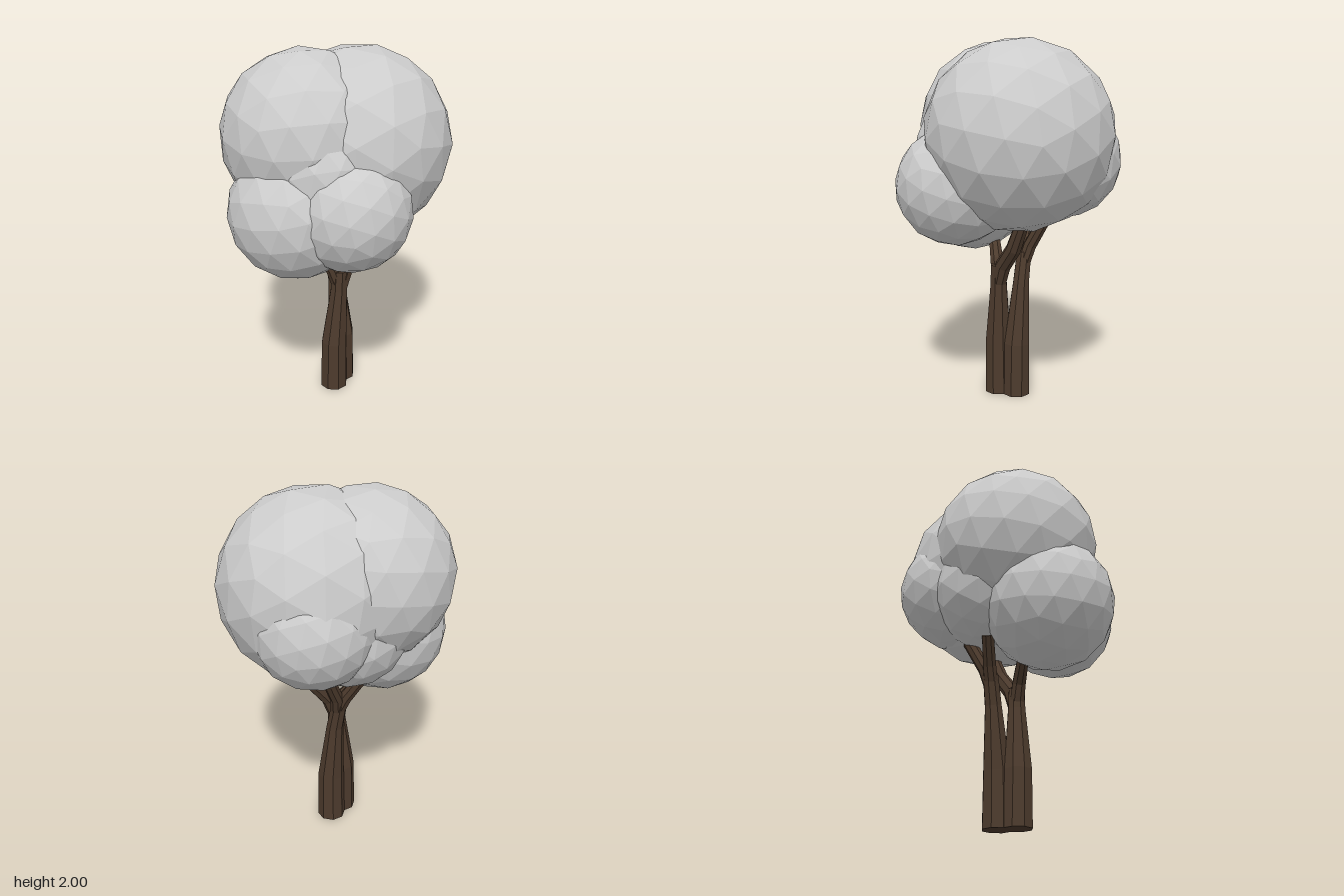
import * as THREE from 'three';

const SIDES = 8;

// Tapered limb lofted through [x, y, z, radius] stations, capped at both ends
function limb(stations) {
  const centres = stations.map(([x, y, z]) => new THREE.Vector3(x, y, z));
  const last = centres.length - 1;
  const positions = [];
  const index = [];
  centres.forEach((c, i) => {
    const dir = i === 0 ? new THREE.Vector3(0, 1, 0)
      : centres[Math.min(i + 1, last)].clone().sub(centres[i - 1]).normalize();
    const turn = new THREE.Quaternion().setFromUnitVectors(new THREE.Vector3(0, 1, 0), dir);
    for (let s = 0; s < SIDES; s++) {
      const a = (s + 0.5) / SIDES * Math.PI * 2;
      const p = new THREE.Vector3(Math.sin(a), 0, Math.cos(a))
        .multiplyScalar(stations[i][3]).applyQuaternion(turn).add(c);
      positions.push(p.x, p.y, p.z);
    }
  });
  for (let i = 0; i < last; i++) {
    for (let s = 0; s < SIDES; s++) {
      const a = i * SIDES + s;
      const b = i * SIDES + (s + 1) % SIDES;
      index.push(a, b, b + SIDES, a, b + SIDES, a + SIDES);
    }
  }
  const top = last * SIDES;
  for (let s = 1; s < SIDES - 1; s++) {
    index.push(0, s + 1, s, top, top + s, top + s + 1);
  }
  const g = new THREE.BufferGeometry();
  g.setAttribute('position', new THREE.Float32BufferAttribute(positions, 3));
  g.setIndex(index);
  const flat = g.toNonIndexed();
  flat.computeVertexNormals();
  return flat;
}

export function createModel() {
  const tree = new THREE.Group();
  tree.name = 'tree';
  const bark = new THREE.MeshStandardMaterial({ color: 0x4d3b2d, flatShading: true });
  bark.name = 'brown bark';
  const leaf = new THREE.MeshStandardMaterial({ color: 0xcccccc, flatShading: true });
  leaf.name = 'pale grey leaves';

  // Two leaning trunks, each forking into two branches
  const limbs = {
    frontTrunk: [[-0.035, 0, 0, 0.081], [-0.035, 0.3, 0.005, 0.077], [-0.013, 0.64, 0.022, 0.05], [-0.01, 0.76, 0.025, 0.046]],
    frontTrunkRightFork: [[-0.01, 0.64, 0.025, 0.042], [0.03, 0.76, 0.03, 0.046], [0.12, 0.87, 0.037, 0.044], [0.2, 1.04, 0.042, 0.038]],
    frontTrunkLeftFork: [[-0.012, 0.66, 0.022, 0.042], [-0.05, 0.78, 0, 0.039], [-0.135, 0.9, -0.06, 0.032]],
    backTrunk: [[0.063, 0, -0.045, 0.081], [0.065, 0.3, -0.047, 0.076], [0.06, 0.65, -0.085, 0.048], [0.05, 0.82, -0.12, 0.044]],
    backTrunkRightFork: [[0.055, 0.74, -0.105, 0.038], [0.08, 0.86, -0.135, 0.038], [0.165, 1.03, -0.175, 0.036]],
    backTrunkLeftFork: [[0.052, 0.76, -0.11, 0.04], [0.03, 0.86, -0.15, 0.038], [-0.025, 1.0, -0.225, 0.034]],
  };
  for (const [name, stations] of Object.entries(limbs)) {
    const mesh = new THREE.Mesh(limb(stations), bark);
    mesh.name = name;
    tree.add(mesh);
  }

  // Faceted leaf clumps: name, centre, radius
  const clumps = [
    ['mainCrown', [0.13, 1.487, 0.005], 0.52],
    ['rearCrown', [-0.125, 1.543, -0.112], 0.462],
    ['frontClump', [-0.13, 1.215, 0.238], 0.327],
    ['sideClump', [-0.28, 1.178, -0.02], 0.366],
    ['backClump', [0.25, 1.36, -0.2], 0.328],
    ['frontFillClump', [-0.17, 1.4, 0.085], 0.312],
    ['backFillClump', [0.03, 1.3, -0.17], 0.325],
  ];
  clumps.forEach(([name, centre, radius], i) => {
    const mesh = new THREE.Mesh(new THREE.IcosahedronGeometry(radius, 2), leaf);
    mesh.name = name;
    mesh.position.set(...centre);
    mesh.rotation.set(0.4 + i * 0.7, i * 1.1, 0.2 + i * 0.5);
    tree.add(mesh);
  });

  return tree;
}
